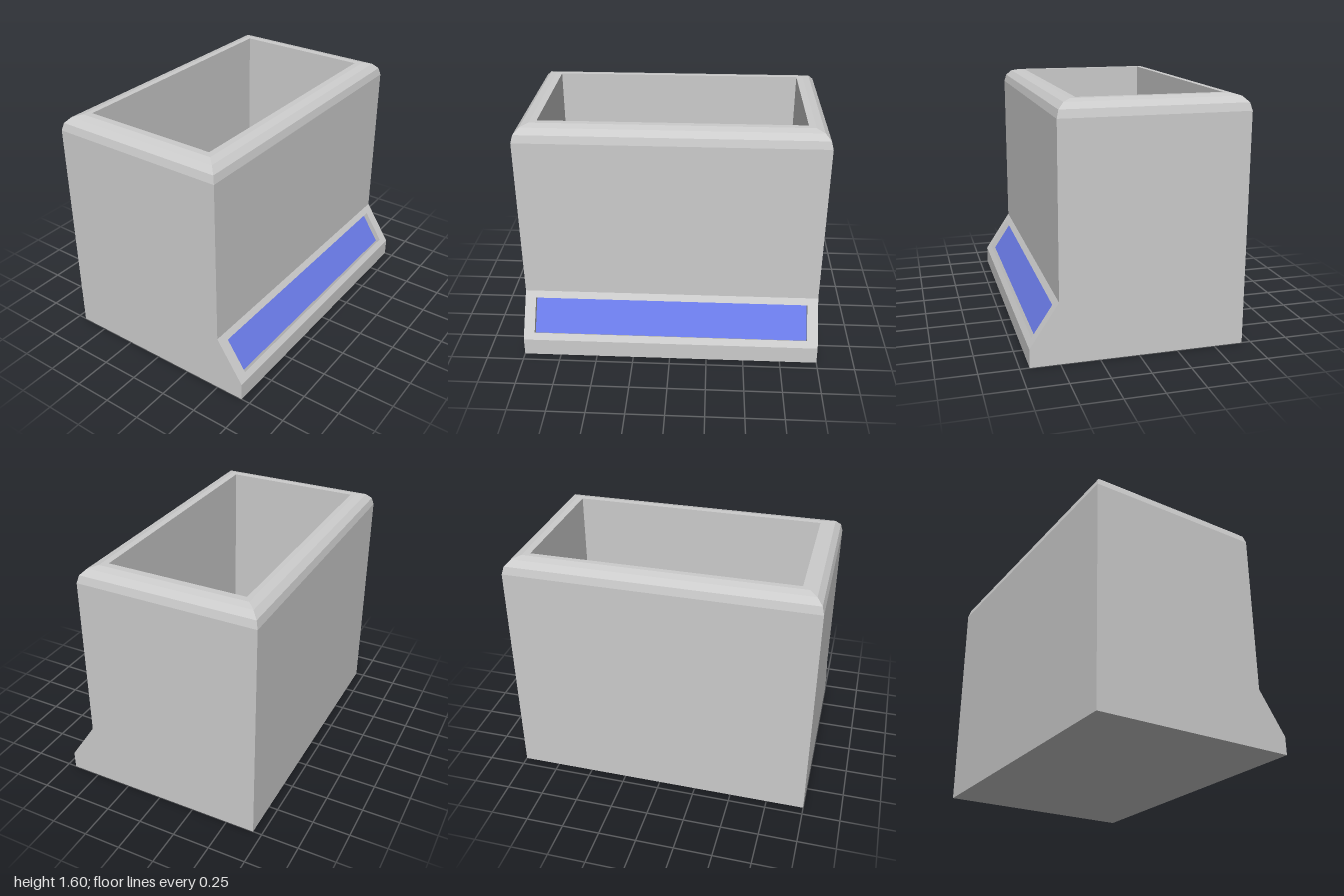
import * as THREE from 'three';

// Four-cornered ring at height y: front-left, front-right, back-right, back-left as seen from the front
const ring = (hw, front, back, y) => [[-hw, y, front], [hw, y, front], [hw, y, back], [-hw, y, back]];

// Faces between consecutive rings; skip(i, k) leaves side k of band i open
function loft(rings, { skip = () => false, capStart = false, capEnd = false } = {}) {
  const pos = [];
  const quad = (a, b, c, d) => pos.push(...a, ...b, ...c, ...a, ...c, ...d);
  for (let i = 0; i < rings.length - 1; i++) {
    for (let k = 0; k < 4; k++) {
      if (skip(i, k)) continue;
      const n = (k + 1) % 4;
      quad(rings[i][k], rings[i][n], rings[i + 1][n], rings[i + 1][k]);
    }
  }
  if (capStart) quad(...[...rings[0]].reverse());
  if (capEnd) quad(...rings[rings.length - 1]);
  const geometry = new THREE.BufferGeometry();
  geometry.setAttribute('position', new THREE.Float32BufferAttribute(pos, 3));
  geometry.computeVertexNormals();
  return geometry;
}

export function createModel() {
  const group = new THREE.Group();
  const grey = new THREE.MeshStandardMaterial({ color: 0xcccccc, flatShading: true });
  const blue = new THREE.MeshStandardMaterial({ color: 0x6a7be8, flatShading: true });
  const add = (name, geometry, material) => {
    const mesh = new THREE.Mesh(geometry, material);
    mesh.name = name;
    group.add(mesh);
  };

  const FRONT = 0.505, BACK = -0.69, FOOT = 0.69, RIM = 0.1, HEIGHT = 1.6;

  // Housing: foot, sloped front, walls, faceted rim, then down into the open cavity
  const rings = [ring(1, FOOT, BACK, 0), ring(1, FOOT, BACK, 0.12), ring(1, FRONT, BACK, 0.4)];
  for (let s = 0; s <= 3; s++) {
    const a = (s / 3) * Math.PI / 2;
    const inset = RIM * (1 - Math.cos(a));
    rings.push(ring(1 - inset, FRONT - inset, BACK + inset, HEIGHT - RIM + RIM * Math.sin(a)));
  }
  rings.push(ring(0.855, 0.363, -0.555, HEIGHT), ring(0.855, 0.363, -0.555, 0.15));
  add('housing', loft(rings, { skip: (i, k) => i === 1 && k === 0, capStart: true, capEnd: true }), grey);

  // Ring on the sloped front: t runs up the slope, depth goes into it
  const slopeRing = (hw, t0, t1, depth) => {
    const point = (x, t) => [x, 0.12 + 0.28 * t - 0.551 * depth, FOOT - (FOOT - FRONT) * t - 0.834 * depth];
    return [point(-hw, t0), point(hw, t0), point(hw, t1), point(-hw, t1)];
  };
  const opening = slopeRing(0.927, 0.143, 0.857, 0);
  const recess = slopeRing(0.927, 0.143, 0.857, 0.037);

  // Frame around the display with its recessed edges
  add('displayFrame', loft([slopeRing(1, 0, 1, 0), opening, recess]), grey);

  // Display panel at the bottom of the recess
  add('displayPanel', loft([recess], { capEnd: true }), blue);

  return group;
}
